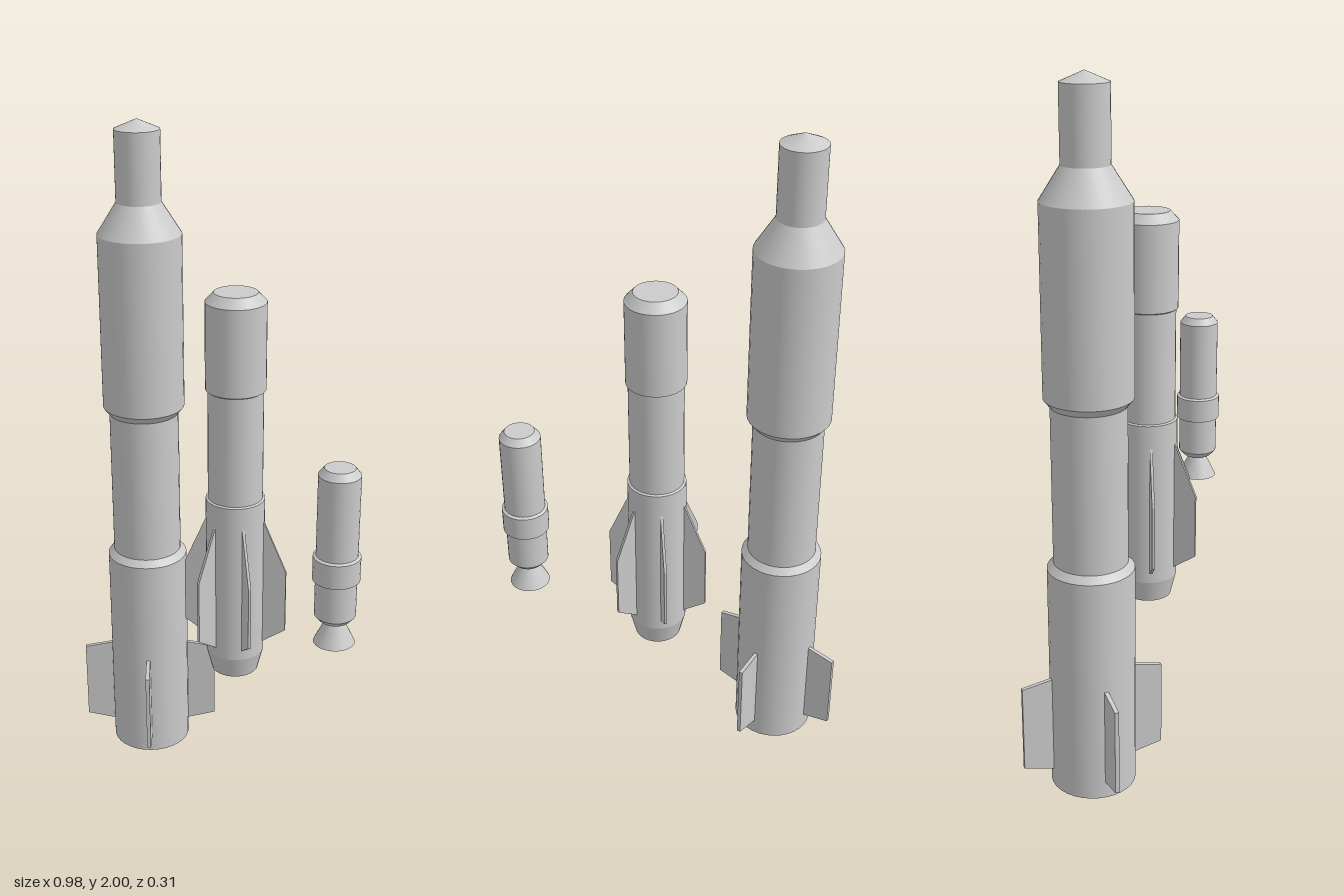
import * as THREE from 'three';
import { mergeGeometries } from 'three/addons/utils/BufferGeometryUtils.js';

const material = new THREE.MeshStandardMaterial({ color: 0xcccccc });
const SIDES = 32;

// Turned part: each [radius, y] span gets its own normals, so rims stay crisp
function turned(name, profile) {
  const spans = [];
  for (let i = 0; i < profile.length - 1; i++) {
    const ends = [profile[i], profile[i + 1]].map(([r, y]) => new THREE.Vector2(r, y));
    spans.push(new THREE.LatheGeometry(ends, SIDES));
  }
  const mesh = new THREE.Mesh(mergeGeometries(spans), material);
  mesh.name = name;
  return mesh;
}

// Ring of flat fins, outline given as [radius, y]
function finRing(count, startAngle, thickness, outline) {
  const ring = new THREE.Group();
  ring.name = 'fins';
  const shape = new THREE.Shape(outline.map(([r, y]) => new THREE.Vector2(r, y)));
  const geometry = new THREE.ExtrudeGeometry(shape, { depth: thickness, bevelEnabled: false });
  geometry.translate(0, 0, -thickness / 2);
  for (let i = 0; i < count; i++) {
    const fin = new THREE.Mesh(geometry, material);
    fin.name = 'fin';
    fin.rotation.y = startAngle + (i * 2 * Math.PI) / count;
    ring.add(fin);
  }
  return ring;
}

function stage(name, x, parts) {
  const group = new THREE.Group();
  group.name = name;
  group.position.x = x;
  group.add(...parts);
  return group;
}

export function createModel() {
  const model = new THREE.Group();
  model.name = 'rocketSet';

  // Tall rocket with four diagonal fins
  model.add(stage('largeRocket', -0.342, [
    turned('booster', [[0, 0], [0.122, 0], [0.122, 0.668], [0.104, 0.688]]),
    turned('midBody', [[0.104, 0.688], [0.104, 1.138]]),
    turned('upperBody', [[0.104, 1.138], [0.122, 1.16], [0.122, 1.68], [0.065, 1.77]]),
    turned('nose', [[0.065, 1.77], [0.065, 1.972], [0, 2]]),
    finRing(4, Math.PI / 4, 0.012, [[0.1, 0.044], [0.116, 0.049], [0.208, 0.07], [0.208, 0.323], [0.116, 0.34], [0.1, 0.343]]),
  ]));

  // Middle rocket with six swept fins
  model.add(stage('mediumRocket', 0.041, [
    turned('tail', [[0, 0.418], [0.069, 0.418], [0.0855, 0.485], [0.0855, 0.98], [0.079, 0.983]]),
    turned('midBody', [[0.079, 0.983], [0.079, 1.308]]),
    turned('head', [[0.079, 1.308], [0.0855, 1.312], [0.0855, 1.562], [0.061, 1.588], [0, 1.588]]),
    finRing(6, Math.PI / 6, 0.008, [[0.075, 0.508], [0.0855, 0.516], [0.153, 0.562], [0.153, 0.755], [0.0855, 0.91], [0.075, 0.934]]),
  ]));

  // Small upper stage with a collar and nozzle
  model.add(stage('smallRocket', 0.425, [
    turned('nozzle', [[0, 0.663], [0.058, 0.663], [0.023, 0.735]]),
    turned('body', [[0, 0.733], [0.043, 0.733], [0.058, 0.75], [0.058, 1.17], [0.042, 1.19], [0, 1.19]]),
    turned('collar', [[0.057, 0.857], [0.066, 0.86], [0.066, 0.93], [0.057, 0.935]]),
  ]));

  return model;
}
